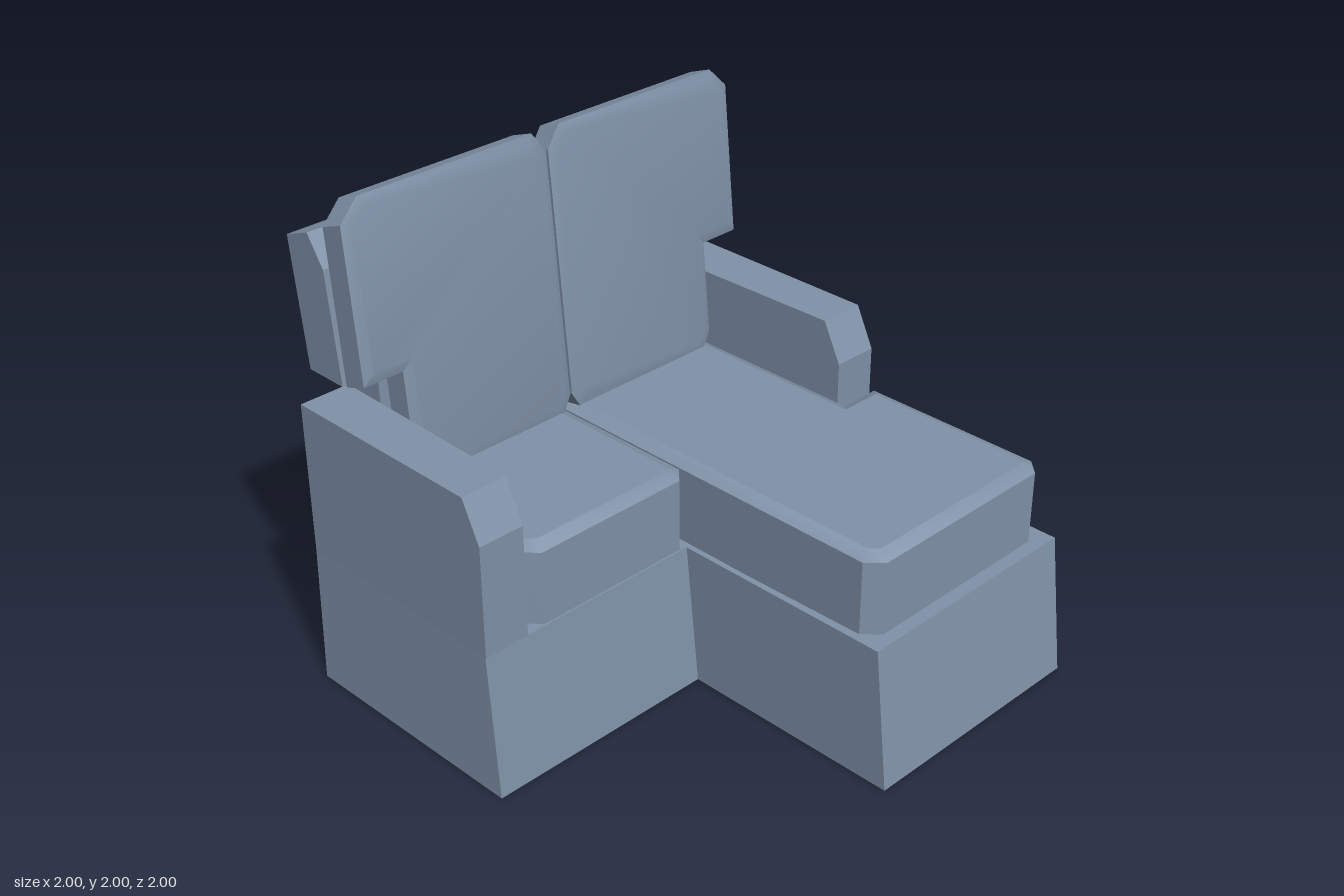
import * as THREE from 'three';
import { toCreasedNormals } from 'three/addons/utils/BufferGeometryUtils.js';

const material = new THREE.MeshStandardMaterial({ color: 0x8092a8 });

function part(name, geometry) {
  const mesh = new THREE.Mesh(toCreasedNormals(geometry, 0.4), material);
  mesh.name = name;
  return mesh;
}

const outline = (points) => new THREE.Shape(points.map(([x, y]) => new THREE.Vector2(x, y)));

// Moves every vertex of a geometry by a rule (x, y, z) => [x, y, z]
function moveVertices(g, rule) {
  const p = g.attributes.position;
  for (let i = 0; i < p.count; i++) p.setXYZ(i, ...rule(p.getX(i), p.getY(i), p.getZ(i)));
  return g;
}

// Box between two rectangles [x0, x1, z0, z1], at heights y0 and y1
function taperedBox(y0, bottom, y1, top) {
  return moveVertices(new THREE.BoxGeometry(1, 1, 1), (x, y, z) => {
    const r = y > 0 ? top : bottom;
    return [x > 0 ? r[1] : r[0], y > 0 ? y1 : y0, z > 0 ? r[3] : r[2]];
  });
}

// Side profile of [z, y] points, swept from x0 to x1
function sideProfile(points, x0, x1) {
  const g = new THREE.ExtrudeGeometry(outline(points.map(([z, y]) => [-z, y])),
    { depth: x1 - x0, bevelEnabled: false });
  return g.rotateY(Math.PI / 2).translate(x0, 0, 0);
}

// Arm whose inner face draws in a little towards the back; side is +1 (left) or -1 (right)
function arm(side) {
  const profile = [[-0.94, 0.57], [0.018, 0.57], [0.018, 1.02], [-0.06, 1.18], [-0.94, 1.18]];
  const [x0, x1] = side > 0 ? [0.79, 0.988] : [-0.988, -0.79];
  return moveVertices(sideProfile(profile, x0, x1), (x, y, z) =>
    [Math.abs(x) > 0.9 ? x : side * (0.798 + Math.min(z, 0) * 0.019), y, z]);
}

// Padded slab from z = 0 to z = thickness: flat behind, with a chamfered rim in front
function padded(points, thickness, inset, rim) {
  const g = new THREE.ExtrudeGeometry(outline(points), {
    depth: thickness - rim, bevelEnabled: true, bevelSegments: 1,
    bevelSize: inset, bevelOffset: -inset, bevelThickness: rim,
  });
  return moveVertices(g, (x, y, z) => [x, y, Math.max(z, 0)]);
}

// Seat cushion from a plan of [x, z] points; its underside sinks into the base at the back
function seatCushion(plan) {
  const g = padded(plan.map(([x, z]) => [x, -z]), 0.32, 0.05, 0.025)
    .rotateX(-Math.PI / 2).translate(0, 0.58, 0);
  return moveVertices(g, (x, y, z) => [x, z < -0.5 && y < 0.6 ? y - 0.03 : y, z]);
}

// T-shaped back cushion, leaning backwards; side is +1 (left) or -1 (right)
function backCushion(side) {
  const points = [
    [0.005, 0.96], [0.045, 0.89], [0.705, 0.89], [0.745, 0.96], [0.745, 1.332], [0.915, 1.332],
    [0.915, 1.923], [0.835, 2.003], [0.065, 2.003], [0.005, 1.923],
  ].map(([x, y]) => [side * x, y]);
  const g = padded(points, 0.112, 0.04, 0.012).translate(0, 0, -0.112);
  return moveVertices(g, (x, y, z) => [x, y + 0.36 * z, z - 0.703 - 0.091 * (y - 2)]);
}

export function createModel() {
  const sofa = new THREE.Group();
  sofa.name = 'chaiseSofa';

  // L-shaped base with sloping fronts
  sofa.add(
    part('seatBase', taperedBox(0, [-1, -0.02, -0.94, 0.075], 0.57, [-0.988, -0.02, -0.94, 0.015])),
    part('chaiseBase', taperedBox(0, [-0.02, 1, -0.94, 1], 0.57, [-0.02, 0.988, -0.94, 0.935])),
  );

  // Arms with a chamfered front corner
  sofa.add(part('leftArm', arm(1)), part('rightArm', arm(-1)));

  // Back: narrow between the arms, wide and leaning above them
  const backRest = [[-0.94, 1.3], [-0.755, 1.3], [-0.805, 1.73], [-0.88, 1.845], [-1, 1.8]];
  const panel = [-0.78, 0.78, -0.94, -0.755];
  sofa.add(
    part('backPanel', taperedBox(0.57, panel, 1.3, panel)),
    part('backRest', sideProfile(backRest, -0.932, 0.932)),
  );

  // Seat cushions
  sofa.add(
    part('seatCushion', seatCushion([
      [-0.775, -0.76], [-0.775, -0.04], [-0.72, 0.018], [-0.06, 0.018], [-0.005, -0.04], [-0.005, -0.76],
    ])),
    part('chaiseCushion', seatCushion([
      [0.003, -0.76], [0.003, 0.83], [0.06, 0.89], [0.885, 0.89], [0.942, 0.83],
      [0.942, 0.078], [0.77, 0.078], [0.77, -0.76],
    ])),
  );

  // Back cushions
  sofa.add(part('leftBackCushion', backCushion(1)), part('rightBackCushion', backCushion(-1)));
  return sofa;
}
